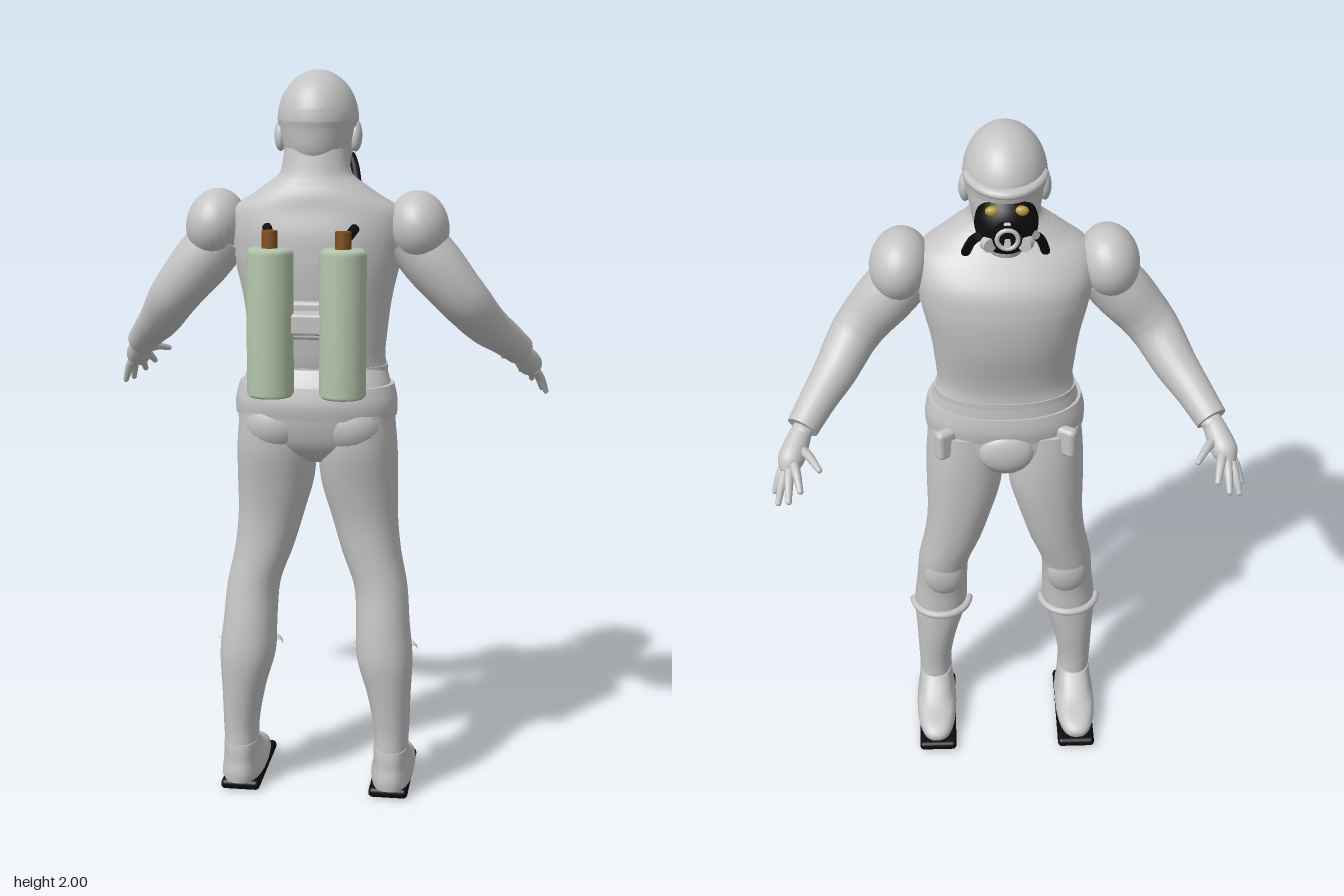
import * as THREE from 'three';
import { RoundedBoxGeometry } from 'three/addons/geometries/RoundedBoxGeometry.js';

const mat = (name, color) => Object.assign(new THREE.MeshStandardMaterial({ color }), { name });

// Skins a list of closed rings (arrays of Vector3) with flat end caps
function skin(rings) {
  const mid = r => r.reduce((a, p) => a.add(p), new THREE.Vector3()).divideScalar(r.length);
  const point = r => { const c = mid(r); return r.map(() => c); };
  const first = rings[0], last = rings[rings.length - 1];
  const all = [point(first), first, ...rings, last, point(last)];
  const n = first.length, index = [];
  for (let i = 0; i < all.length - 1; i++) for (let j = 0; j < n; j++) {
    const k = (j + 1) % n, a = i * n + j, b = i * n + k;
    index.push(a, b, b + n, a, b + n, a + n);
  }
  const g = new THREE.BufferGeometry().setFromPoints(all.flat());
  g.setIndex(index);
  g.computeVertexNormals();
  return g;
}

const spline = (rows, t, k) => {
  const s = t * (rows.length - 1), i = Math.min(Math.floor(s), rows.length - 2), f = s - i;
  const at = m => rows[Math.max(0, Math.min(rows.length - 1, m))][k];
  const [a, b, c, d] = [at(i - 1), at(i), at(i + 1), at(i + 2)];
  return b + 0.5 * f * (c - a + f * (2 * a - 5 * b + 4 * c - d + f * (3 * (b - c) + d - a)));
};

// Horizontal superellipse sections, bottom to top: [y, x, z, rx, rz]
function loft(rows, side = 1, power = 2.2, n = 36) {
  const rings = [], steps = (rows.length - 1) * 4;
  const pw = v => Math.sign(v) * Math.abs(v) ** (2 / power);
  for (let i = 0; i <= steps; i++) {
    const [y, x, z, rx, rz] = [0, 1, 2, 3, 4].map(k => spline(rows, i / steps, k));
    rings.push(Array.from({ length: n }, (_, j) => {
      const a = j / n * Math.PI * 2;
      return new THREE.Vector3(x * side + rx * pw(Math.sin(a)), y, z + rz * pw(Math.cos(a)));
    }));
  }
  return skin(rings);
}

// Round tapered limb through [x, y, z, radius]
function limb(rows, side = 1, n = 20) {
  const rings = [], steps = (rows.length - 1) * 6;
  const at = t => new THREE.Vector3(spline(rows, t, 0) * side, spline(rows, t, 1), spline(rows, t, 2));
  for (let i = 0; i <= steps; i++) {
    const t = i / steps, p = at(t), r = spline(rows, t, 3);
    const dir = at(Math.min(1, t + 0.01)).sub(at(Math.max(0, t - 0.01))).normalize();
    const u = new THREE.Vector3(0, 1, 0).cross(dir).normalize(), v = dir.clone().cross(u);
    rings.push(Array.from({ length: n }, (_, j) => {
      const a = j / n * Math.PI * 2;
      return p.clone().addScaledVector(u, r * Math.cos(a)).addScaledVector(v, r * Math.sin(a));
    }));
  }
  return skin(rings);
}

export function createModel() {
  const model = new THREE.Group();
  model.name = 'diverFigure';
  const suit = mat('suitGrey', 0xc4c4c4), black = mat('rubberBlack', 0x0c0c0c);
  const green = mat('tankGreen', 0xb4c6aa), brown = mat('valveBrown', 0x80501c), gold = mat('lensGold', 0xb8963c);

  const add = (name, geo, m, x = 0, y = 0, z = 0) => {
    const mesh = new THREE.Mesh(geo, m);
    mesh.name = name;
    mesh.position.set(x, y, z);
    model.add(mesh);
    return mesh;
  };
  const ball = (name, m, x, y, z, rx, ry, rz) =>
    add(name, new THREE.SphereGeometry(1, 28, 20).scale(rx, ry, rz), m, x, y, z);
  const cyl = (r, h) => new THREE.CylinderGeometry(r, r, h, 24);

  // Torso, neck and hips
  add('torso', loft([
    [1.215, 0, .05, .19, .108], [1.25, 0, .055, .184, .112], [1.3, 0, .055, .188, .12],
    [1.4, 0, .05, .2, .14], [1.5, 0, .05, .222, .148], [1.58, 0, .055, .232, .141],
    [1.64, 0, .07, .22, .113], [1.68, 0, .085, .165, .094], [1.71, 0, .088, .125, .083],
    [1.74, 0, .088, .093, .074], [1.8, 0, .08, .083, .07]]), suit);
  add('chestYoke', loft([
    [1.515, 0, .05, .228, .153], [1.58, 0, .055, .236, .146], [1.64, 0, .07, .224, .118],
    [1.68, 0, .085, .168, .097], [1.71, 0, .088, .126, .084]]), suit);
  add('hips', loft([
    [.96, 0, .05, .08, .07], [1, 0, .06, .185, .11], [1.05, 0, .065, .213, .128],
    [1.12, 0, .07, .212, .134], [1.17, 0, .067, .202, .128], [1.22, 0, .055, .186, .112]]), suit);
  add('belt', loft([
    [1.09, 0, .072, .219, .136], [1.13, 0, .072, .22, .142], [1.175, 0, .07, .21, .135]]), suit);
  add('waistSeam', loft([[1.208, 0, .052, .192, .112], [1.224, 0, .052, .192, .112]]), suit);
  ball('codpiece', suit, 0, 1.06, -.055, .075, .062, .03);

  // Head with cap and brim
  add('head', loft([
    [1.69, 0, -.02, .045, .055], [1.72, 0, .005, .072, .088], [1.78, 0, .03, .088, .122],
    [1.85, 0, .038, .1, .128], [1.9, 0, .042, .101, .13], [1.94, 0, .04, .085, .11]], 1, 2), suit);
  add('cap', new THREE.SphereGeometry(1, 36, 14, 0, Math.PI * 2, 0, Math.PI / 2).scale(.107, .13, .137), suit, 0, 1.87, .038);
  add('capEdge', loft([[1.855, 0, .038, .104, .133], [1.872, 0, .038, .107, .137]], 1, 2), suit);
  const brim = add('brim', new THREE.TorusGeometry(.1, .014, 10, 28, Math.PI * .84)
    .rotateZ(Math.PI * .08).rotateX(-Math.PI / 2).scale(.98, .9, 1.3), suit, 0, 1.893, .03);
  brim.rotation.x = -.06;

  // Breathing mask
  ball('mask', black, 0, 1.785, -.058, .08, .085, .066);
  add('snout', cyl(.036, .035).rotateX(Math.PI / 2), black, 0, 1.785, -.127);
  add('snoutRing', new THREE.TorusGeometry(.026, .006, 8, 24), suit, 0, 1.785, -.145);
  add('snoutTab', new RoundedBoxGeometry(.018, .07, .012, 2, .004), suit, 0, 1.79, -.138).rotation.x = .15;

  for (const s of [1, -1]) {
    // Face details
    ball('ear', suit, s * .1, 1.83, .042, .017, .042, .026).rotation.x = -.2;
    ball('eyeLens', gold, s * .036, 1.838, -.098, .018, .013, .012);
    const filter = add('maskFilter', cyl(.019, .02).rotateX(Math.PI / 2), suit, s * .046, 1.752, -.108);
    filter.rotation.y = s * .5;
    add('maskHose', limb([[.07, 1.77, -.1, .012], [.088, 1.73, -.06, .012], [.105, 1.65, .01, .012]], s, 12), black);

    // Shoulder and arm
    ball('shoulder', suit, s * .272, 1.595, .066, .08, .096, .104).rotation.z = s * .2;
    add('arm', limb([
      [.25, 1.57, .065, .075], [.31, 1.5, .065, .078], [.365, 1.435, .06, .071], [.405, 1.385, .038, .066],
      [.45, 1.325, -.025, .058], [.495, 1.28, -.09, .049], [.537, 1.235, -.155, .043]], s, 24), suit);
    ball('wrist', suit, s * .537, 1.23, -.16, .03, .025, .03);
    add('palm', limb([[.535, 1.235, -.15, .026], [.553, 1.205, -.19, .033], [.568, 1.18, -.225, .034], [.577, 1.16, -.248, .018]], s), suit);
    for (const [x, y, z, bx, by, bz] of [
      [.613, 1.1, -.25, .582, 1.165, -.215], [.601, 1.1, -.3, .58, 1.165, -.235],
      [.571, 1.122, -.324, .57, 1.175, -.238], [.54, 1.148, -.314, .56, 1.185, -.235],
      [.49, 1.192, -.283, .545, 1.2, -.195]]) {
      add('finger', limb([[bx, by, bz, .014], [(x + bx) / 2, (y + by) / 2 + .008, (z + bz) / 2, .012],
        [x, y, z, .008]], s, 10), suit);
      ball('fingertip', suit, s * x, y, z, .008, .008, .008);
    }

    // Leg, knee pad and shin ring
    ball('buttock', suit, s * .1, 1.07, .105, .098, .09, .095);
    add('leg', loft([
      [.04, .215, .09, .053, .073], [.13, .213, .086, .048, .07], [.2, .213, .085, .05, .07],
      [.3, .205, .085, .061, .08], [.4, .193, .087, .077, .087], [.5, .186, .08, .074, .085],
      [.6, .178, .062, .073, .088], [.7, .15, .05, .081, .094], [.8, .13, .045, .091, .101],
      [.9, .116, .05, .105, .113], [1, .112, .06, .107, .124], [1.1, .11, .065, .1, .122]], s), suit);
    ball('kneePad', suit, s * .18, .565, .01, .058, .078, .037).rotation.x = -.12;
    add('shinRing', new THREE.TorusGeometry(.082, .011, 10, 32, Math.PI).rotateX(-Math.PI / 2), suit, s * .19, .42, .072);
    add('hipPouch', new RoundedBoxGeometry(.06, .09, .035, 3, .014), suit, s * .165, 1.085, -.04).rotation.y = s * .6;

    // Boot
    add('boot', loft([
      [.03, .213, .008, .057, .158], [.05, .213, .008, .06, .16], [.07, .213, .02, .057, .146],
      [.09, .213, .05, .052, .112], [.12, .213, .075, .049, .085], [.14, .213, .085, .048, .072]], s, 2.5), suit);
    add('sole', new RoundedBoxGeometry(.11, .028, .315, 3, .012), black, s * .21, .016, -.008);
    add('solePatch', cyl(.02, .004), suit, s * .21, .002, -.06);

    // Air tank with valve and hose
    add('tank', new THREE.LatheGeometry([[0, 0], [.055, 0], [.061, .008], [.061, .372], [.053, .385], [0, .387]]
      .map(p => new THREE.Vector2(...p)), 32), green, s * .095, 1.17, .262);
    add('valve', cyl(.021, .045), brown, s * .095, 1.578, .262);
    add('tankHose', limb([[.095, 1.575, .25, .013], [.105, 1.585, .215, .013], [.115, 1.6, .18, .013]], s, 12), black);
  }

  // Bracket joining the tanks
  add('tankBracket', new RoundedBoxGeometry(.11, .055, .09, 2, .008), suit, 0, 1.36, .235);
  add('backPlate', new RoundedBoxGeometry(.2, .1, .03, 2, .01), suit, 0, 1.36, .2);
  return model;
}
